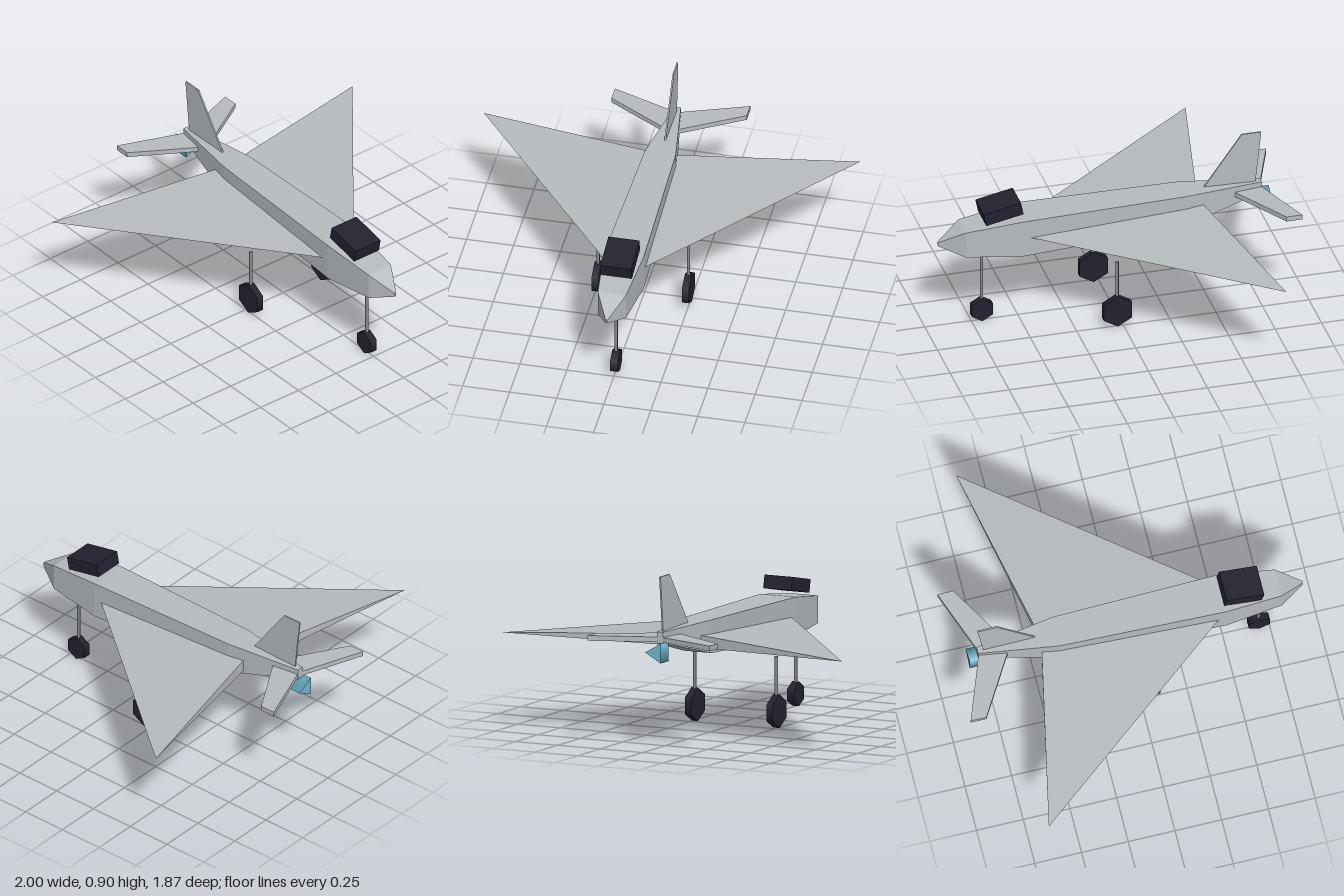
import * as THREE from 'three';
import { ConvexGeometry } from 'three/addons/geometries/ConvexGeometry.js';

export function createModel() {
  const group = new THREE.Group();
  const material = (name, color) => {
    const m = new THREE.MeshStandardMaterial({ color });
    m.name = name;
    return m;
  };
  const grey = material('hull grey', 0xb6bbbe);
  const dark = material('dark glass and rubber', 0x222230);
  const steel = material('strut grey', 0x888c94);
  const cyan = material('engine cyan', 0x70b8d0);

  const add = (name, geometry, mat, x = 0, y = 0, z = 0) => {
    const mesh = new THREE.Mesh(geometry, mat);
    mesh.name = name;
    mesh.position.set(x, y, z);
    group.add(mesh);
    return mesh;
  };
  // Faceted solid spanning a few corner points
  const solid = (name, points) =>
    add(name, new ConvexGeometry(points.map((p) => new THREE.Vector3(...p))), grey);

  // Fuselage cross-sections: z, half width, bottom, top
  const sections = [
    [0.93, 0.006, 0.478, 0.5],
    [0.8, 0.075, 0.43, 0.575],
    [0.5, 0.105, 0.407, 0.613],
    [-0.39, 0.082, 0.445, 0.62],
    [-0.81, 0.018, 0.55, 0.61],
  ];
  solid('fuselage', sections.flatMap(([z, w, b, t]) =>
    [[w, t, z], [-w, t, z], [-w, b, z], [w, b, z]]));

  // Canopy block, tilted nose-down
  add('canopy', new THREE.BoxGeometry(0.165, 0.071, 0.205), dark, 0, 0.661, 0.598)
    .rotation.x = 0.2;

  // Thin vertical fin: y, z outline
  const fin = [[0.6, -0.49], [0.9, -0.705], [0.9, -0.81], [0.6, -0.778]];
  solid('tailFin', fin.flatMap(([y, z]) => [[0.004, y, z], [-0.004, y, z]]));

  // Landing gear: strut and hexagonal wheel
  const gear = (name, x, z, r, width) => {
    add(name + 'Strut', new THREE.CylinderGeometry(0.009, 0.009, 0.38 - r, 6), steel, x, (0.38 + r) / 2, z);
    const wheel = new THREE.CylinderGeometry(r, r, width, 6, 1, false, Math.PI / 6);
    add(name + 'Wheel', wheel.rotateZ(Math.PI / 2), dark, x, r + 0.003, z);
  };
  gear('nose', 0, 0.695, 0.065, 0.04);

  for (const [side, s] of [['left', 1], ['right', -1]]) {
    // Swept wing tapering to points at the front and the tip
    solid(side + 'Wing', [
      [s * 0.1, 0.512, 0.46], [s * 0.06, 0.55, -0.48],
      [s * 0.06, 0.484, -0.48], [s, 0.512, -0.675],
    ]);
    // Swept tailplane: x, z outline
    const outline = [[0.01, -0.64], [0.36, -0.85], [0.36, -0.935], [0.01, -0.805]];
    solid(side + 'Tailplane', outline.flatMap(([x, z]) =>
      [[s * x, 0.555, z], [s * x, 0.582, z]]));
    gear(side + 'Main', s * 0.24, 0.03, 0.088, 0.037);
  }

  // Three-sided engine nozzle below the tail
  const nozzle = new THREE.CylinderGeometry(0.06, 0.06, 0.088, 3, 1, false, Math.PI / 2);
  add('nozzle', nozzle.rotateX(Math.PI / 2), cyan, 0, 0.505, -0.814);

  return group;
}
